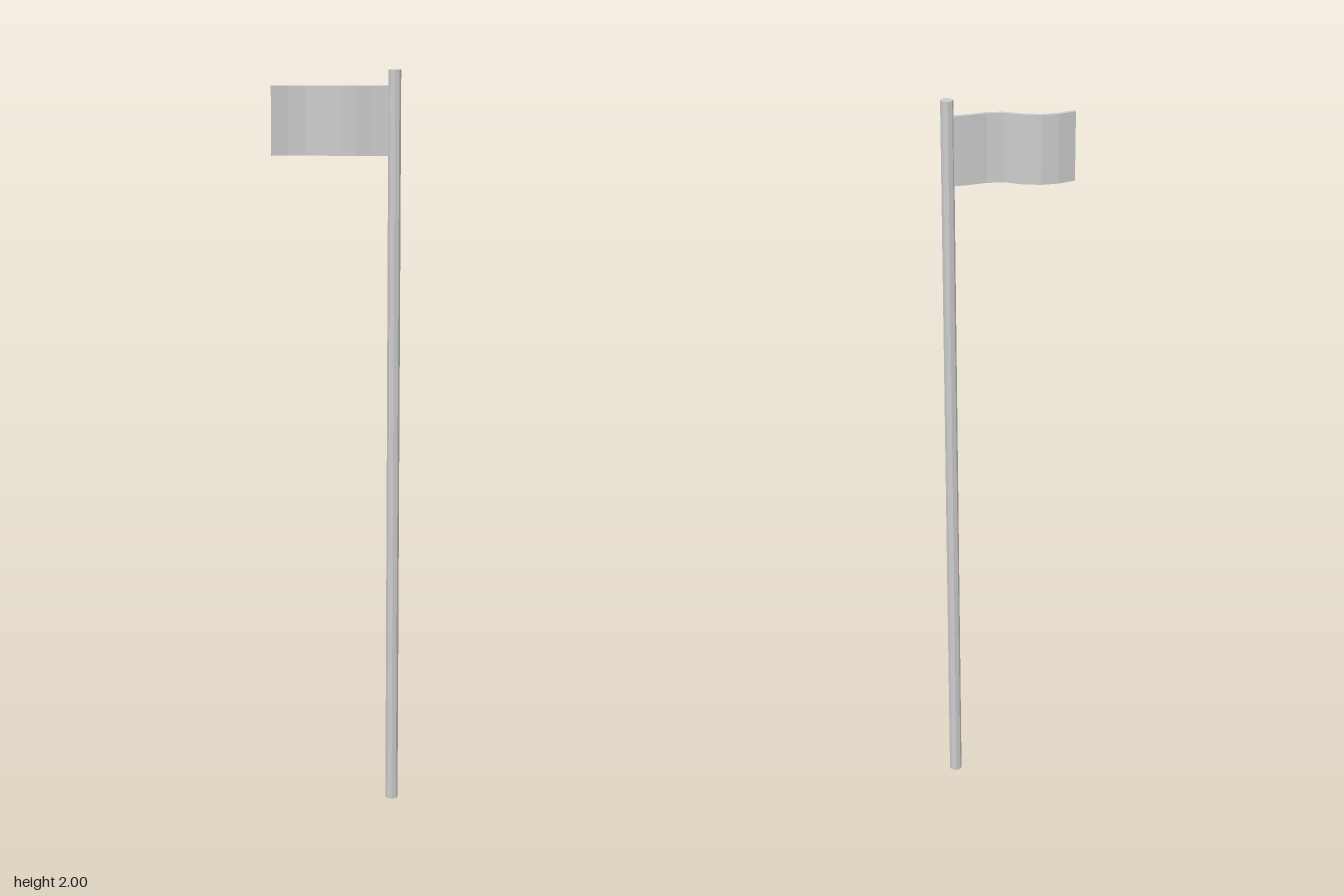
import * as THREE from 'three';

export function createModel() {
  const group = new THREE.Group();
  const material = new THREE.MeshStandardMaterial({ color: 0xcccccc, flatShading: true });

  // Eight-sided pole
  const pole = new THREE.Mesh(new THREE.CylinderGeometry(0.017, 0.017, 2, 8), material);
  pole.name = 'pole';
  pole.position.set(0.154, 1, 0.001);
  group.add(pole);

  // Waving flag: plan outline offset to a thin strip, extruded upwards
  const wave = [
    [-0.173, 0.001], [-0.128, -0.016], [-0.083, -0.02], [-0.037, -0.009],
    [0.008, 0.014], [0.053, 0.017], [0.098, 0.007], [0.147, 0.001],
  ];
  const half = 0.0055, bottom = 1.775, height = 0.183;
  const edge = (offset) => wave.map(([x, z]) => new THREE.Vector2(x, -z + offset));
  const outline = new THREE.Shape([...edge(-half), ...edge(half).reverse()]);
  const cloth = new THREE.ExtrudeGeometry(outline, { depth: height, bevelEnabled: false });
  cloth.rotateX(-Math.PI / 2);
  const flag = new THREE.Mesh(cloth, material);
  flag.name = 'flag';
  flag.position.y = bottom;
  group.add(flag);

  return group;
}
